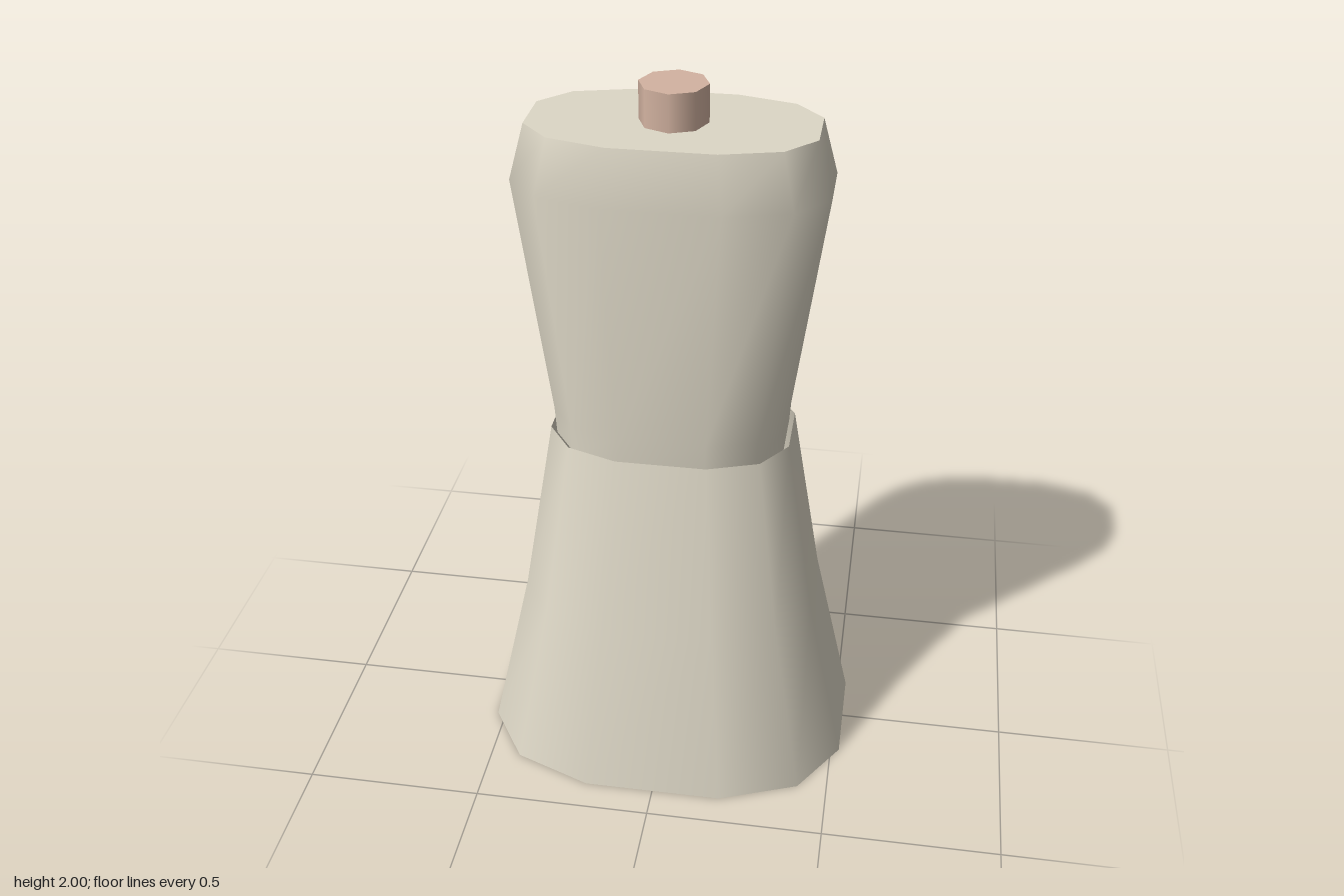
import * as THREE from 'three';

const SIDES = 12;

// Rounded-oblong outline: a squared-off ellipse with half-widths rx and rz.
function ring(y, rx, rz) {
  const soften = (v) => Math.sign(v) * Math.abs(v) ** 0.75;
  return Array.from({ length: SIDES }, (_, i) => {
    const a = ((i + 0.5) / SIDES) * Math.PI * 2;
    const k = 0.966 ** -0.75; // outermost corners reach rx and rz
    return [rx * k * soften(Math.cos(a)), y, rz * k * soften(Math.sin(a))];
  });
}

function build(points, index) {
  const g = new THREE.BufferGeometry();
  g.setAttribute('position', new THREE.Float32BufferAttribute(points.flat(), 3));
  g.setIndex(index);
  g.computeVertexNormals();
  return g;
}

// Smooth wall through [y, rx, rz] sections, bottom to top.
function loft(sections) {
  const index = [];
  for (let j = 0; j < sections.length - 1; j++) {
    for (let i = 0; i < SIDES; i++) {
      const n = (i + 1) % SIDES;
      const a = j * SIDES + i, b = j * SIDES + n;
      index.push(a, a + SIDES, b, b, a + SIDES, b + SIDES);
    }
  }
  return build(sections.flatMap((s) => ring(...s)), index);
}

// Flat upward lid over one section.
function lid(section) {
  const index = [];
  for (let i = 1; i < SIDES - 1; i++) index.push(0, i + 1, i);
  return build(ring(...section), index);
}

export function createModel() {
  const group = new THREE.Group();
  const cloth = new THREE.MeshStandardMaterial({ color: 0xddd7c6, side: THREE.DoubleSide });
  const skin = new THREE.MeshStandardMaterial({ color: 0xd3b3a1 });

  const add = (name, geometry, material) => {
    const mesh = new THREE.Mesh(geometry, material);
    mesh.name = name;
    group.add(mesh);
    return mesh;
  };

  // Flared skirt, open at hem and waist
  add('skirt', loft([[0, 0.525, 0.41], [0.5, 0.415, 0.32], [1.02, 0.33, 0.235]]), cloth);

  // Bodice, tucked into the skirt and widening to the shoulders
  const shoulder = [1.9, 0.37, 0.205];
  add('bodice', loft([[1.0, 0.315, 0.22], [1.08, 0.32, 0.223], [1.75, 0.41, 0.233], shoulder]), cloth);
  add('shoulderTop', lid(shoulder), cloth);

  // Neck stub
  add('neck', new THREE.CylinderGeometry(0.09, 0.09, 0.12, 8), skin).position.y = 1.94;

  return group;
}
